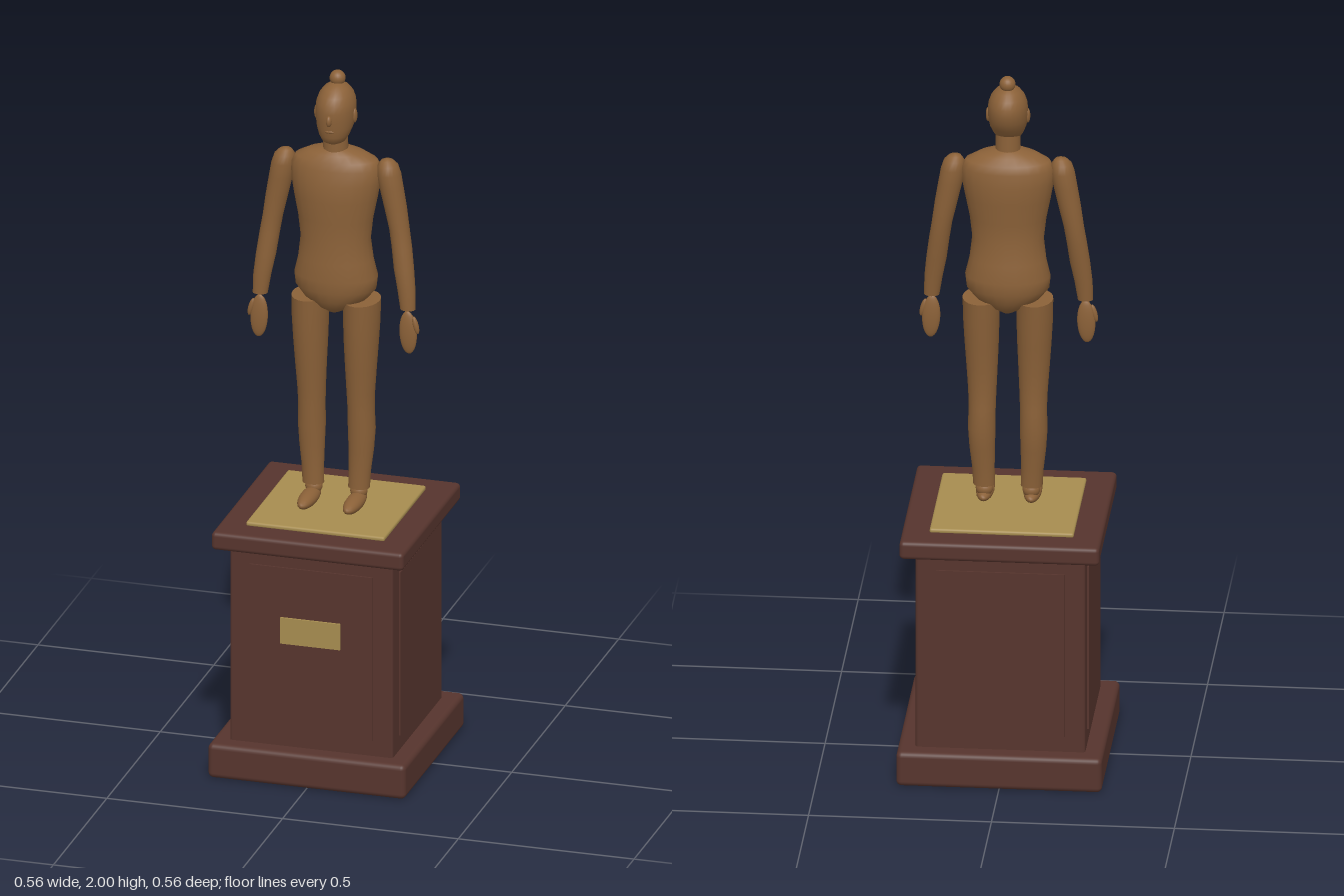
import * as THREE from 'three';
import { RoundedBoxGeometry } from 'three/addons/geometries/RoundedBoxGeometry.js';

// Skin through elliptical sections [y, centreX, centreZ, radiusX, radiusZ], listed bottom to top, with flat caps
function loft(sections, sides = 20) {
  const pos = [], index = [];
  const ring = ([y, cx, cz, rx, rz]) => {
    const start = pos.length / 3;
    for (let i = 0; i < sides; i++) {
      const a = (i / sides) * Math.PI * 2;
      pos.push(cx + Math.sin(a) * rx, y, cz + Math.cos(a) * rz);
    }
    return start;
  };
  const rings = sections.map(ring);
  for (let r = 0; r < rings.length - 1; r++) {
    for (let i = 0; i < sides; i++) {
      const j = (i + 1) % sides;
      const a = rings[r] + i, b = rings[r] + j, c = rings[r + 1] + i, d = rings[r + 1] + j;
      index.push(a, b, d, a, d, c);
    }
  }
  [sections[0], sections[sections.length - 1]].forEach((s, top) => {
    const start = ring(s), centre = pos.length / 3;
    pos.push(s[1], s[0], s[2]);
    for (let i = 0; i < sides; i++) {
      const a = start + i, b = start + (i + 1) % sides;
      if (top) index.push(centre, a, b);
      else index.push(centre, b, a);
    }
  });
  const g = new THREE.BufferGeometry();
  g.setAttribute('position', new THREE.Float32BufferAttribute(pos, 3));
  g.setIndex(index);
  g.computeVertexNormals();
  return g;
}

const mirrorX = (sections, s) => sections.map(([y, cx, ...rest]) => [y, cx * s, ...rest]);

export function createModel() {
  const model = new THREE.Group();
  model.name = 'statueOnPlinth';
  const mat = (name, color) => {
    const m = new THREE.MeshStandardMaterial({ color });
    m.name = name;
    return m;
  };
  const bronze = mat('bronze', 0x8b6138);
  const wood = mat('darkWood', 0x56342d);
  const brass = mat('brass', 0xa68c4f);

  const add = (parent, name, geometry, material, x = 0, y = 0, z = 0) => {
    const mesh = new THREE.Mesh(geometry, material);
    mesh.name = name;
    mesh.position.set(x, y, z);
    parent.add(mesh);
    return mesh;
  };
  const group = (name) => {
    const g = new THREE.Group();
    g.name = name;
    model.add(g);
    return g;
  };
  const ball = (parent, name, x, y, z, rx, ry, rz) => {
    const m = add(parent, name, new THREE.SphereGeometry(1, 20, 14), bronze, x, y, z);
    m.scale.set(rx, ry, rz);
    return m;
  };

  // Plinth
  const plinth = group('plinth');
  add(plinth, 'plinthBase', new RoundedBoxGeometry(0.562, 0.1, 0.562, 3, 0.015), wood, 0, 0.05, 0);
  add(plinth, 'plinthBody', new RoundedBoxGeometry(0.464, 0.59, 0.464, 2, 0.008), wood, 0, 0.385, 0);
  add(plinth, 'plinthCap', new RoundedBoxGeometry(0.546, 0.052, 0.546, 3, 0.012), wood, 0, 0.694, 0);
  for (let i = 0; i < 4; i++) {
    const side = new THREE.Group();
    side.name = 'panelSide';
    side.rotation.y = (i * Math.PI) / 2;
    plinth.add(side);
    add(side, 'raisedPanel', new THREE.BoxGeometry(0.35, 0.48, 0.009), wood, 0, 0.385, 0.2325);
  }
  add(plinth, 'topPlate', new RoundedBoxGeometry(0.394, 0.014, 0.394, 2, 0.006), brass, 0, 0.724, 0);
  add(plinth, 'plaque', new THREE.BoxGeometry(0.17, 0.076, 0.009), brass, 0, 0.442, 0.2385);

  // Torso and neck
  const body = group('body');
  add(body, 'torso', loft([
    [1.305, 0, 0, 0.02, 0.03], [1.32, 0, 0, 0.05, 0.05], [1.345, 0, -0.001, 0.088, 0.068],
    [1.375, 0, -0.002, 0.113, 0.077], [1.41, 0, -0.002, 0.117, 0.08], [1.46, 0, 0, 0.105, 0.075],
    [1.52, 0, 0.002, 0.098, 0.069], [1.58, 0, 0.002, 0.105, 0.071], [1.64, 0, 0, 0.117, 0.077],
    [1.69, 0, -0.002, 0.126, 0.077], [1.73, 0, -0.005, 0.128, 0.07], [1.752, 0, -0.005, 0.115, 0.063],
    [1.77, 0, -0.003, 0.08, 0.05], [1.782, 0, 0, 0.035, 0.033],
  ], 24), bronze);
  add(body, 'neck', new THREE.CylinderGeometry(0.033, 0.035, 0.1, 20), bronze, 0, 1.805, 0.003);

  // Head with its features
  const head = group('head');
  add(head, 'skull', loft([
    [1.802, 0, 0.02, 0.015, 0.018], [1.81, 0, 0.019, 0.031, 0.035], [1.828, 0, 0.015, 0.042, 0.046],
    [1.85, 0, 0.007, 0.05, 0.057], [1.875, 0, 0.001, 0.054, 0.066], [1.9, 0, -0.001, 0.055, 0.069],
    [1.92, 0, -0.003, 0.053, 0.067], [1.94, 0, -0.004, 0.046, 0.058], [1.956, 0, -0.005, 0.034, 0.043],
    [1.966, 0, -0.006, 0.018, 0.023], [1.969, 0, -0.006, 0.004, 0.005],
  ], 24), bronze);
  ball(head, 'topKnot', 0, 1.978, -0.015, 0.022, 0.022, 0.022);
  ball(head, 'nose', 0, 1.88, 0.066, 0.008, 0.016, 0.011);
  ball(head, 'mouth', 0, 1.847, 0.06, 0.014, 0.005, 0.005);

  for (const s of [1, -1]) {
    const limbs = group(s > 0 ? 'leftLimbs' : 'rightLimbs');
    ball(head, 'ear', s * 0.054, 1.88, 0.002, 0.007, 0.021, 0.011);

    // Arm
    add(limbs, 'arm', loft(mirrorX([
      [1.335, 0.21, 0.018, 0.021, 0.018], [1.39, 0.205, 0.015, 0.025, 0.022],
      [1.45, 0.196, 0.009, 0.028, 0.026], [1.51, 0.188, 0.002, 0.028, 0.028],
      [1.56, 0.18, -0.002, 0.028, 0.029], [1.62, 0.169, -0.003, 0.031, 0.032],
      [1.68, 0.157, -0.003, 0.033, 0.034], [1.72, 0.15, -0.003, 0.033, 0.036],
      [1.744, 0.147, -0.003, 0.028, 0.03], [1.757, 0.145, -0.003, 0.017, 0.018],
      [1.761, 0.144, -0.003, 0.004, 0.004],
    ], s)), bronze);

    // Hand and thumb
    const palm = ball(limbs, 'hand', s * 0.212, 1.268, 0.022, 0.025, 0.062, 0.011);
    palm.rotation.z = s * 0.04;
    const thumb = ball(limbs, 'thumb', s * 0.234, 1.292, 0.024, 0.008, 0.026, 0.008);
    thumb.rotation.z = s * 0.25;

    // Leg
    add(limbs, 'leg', loft(mirrorX([
      [0.788, 0.065, -0.002, 0.03, 0.026], [0.84, 0.067, -0.004, 0.031, 0.028],
      [0.9, 0.07, -0.007, 0.035, 0.034], [0.96, 0.071, -0.008, 0.038, 0.04],
      [1.02, 0.07, -0.005, 0.037, 0.04], [1.07, 0.07, -0.002, 0.039, 0.041],
      [1.14, 0.071, 0, 0.043, 0.047], [1.21, 0.072, 0, 0.047, 0.055],
      [1.28, 0.073, -0.001, 0.05, 0.062], [1.342, 0.073, -0.002, 0.051, 0.067],
    ], s)), bronze);

    // Ankle joint and foot
    ball(limbs, 'ankle', s * 0.064, 0.776, -0.004, 0.024, 0.022, 0.023);
    ball(limbs, 'foot', s * 0.065, 0.757, 0.037, 0.025, 0.021, 0.078);
  }
  return model;
}
